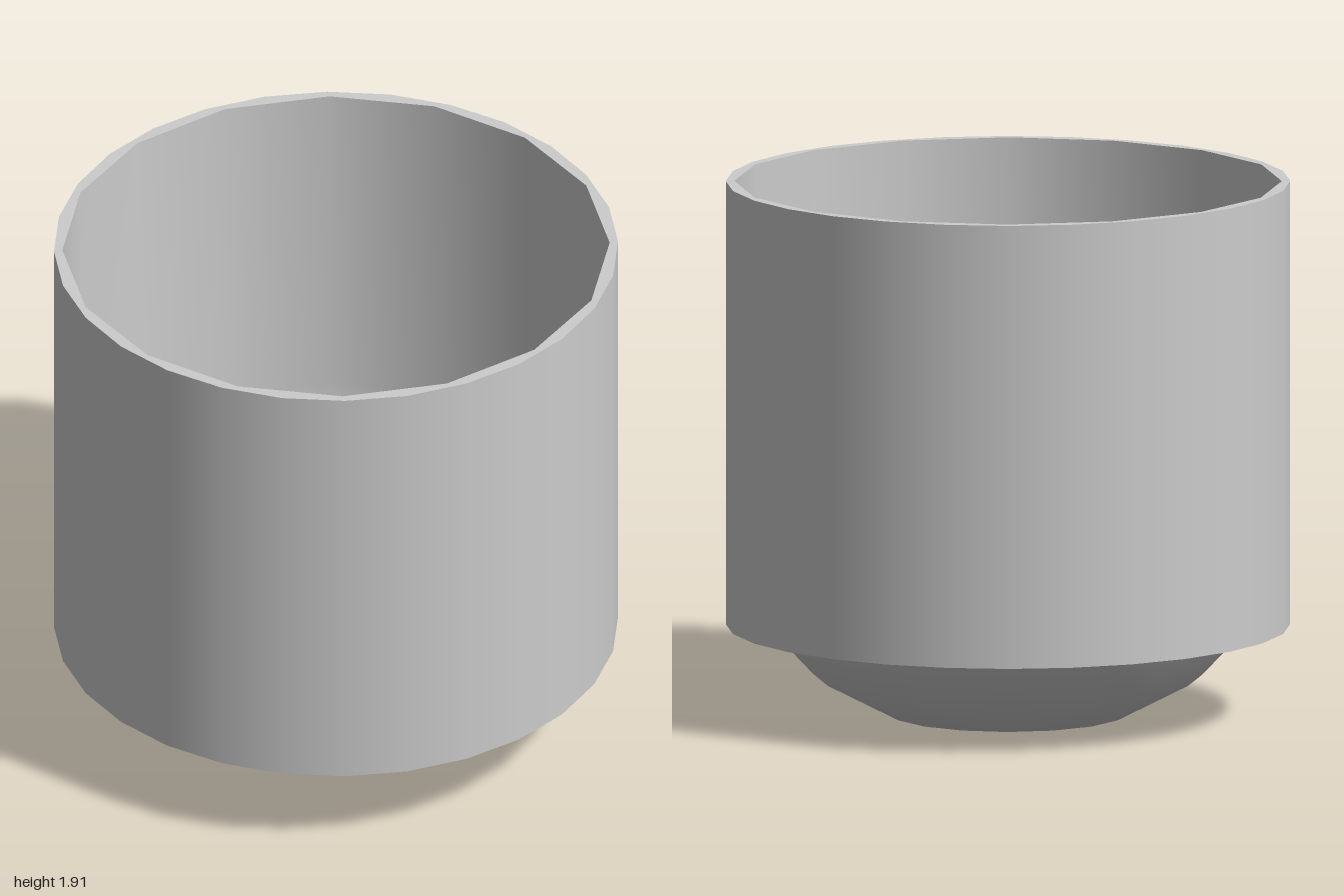
import * as THREE from 'three';

const TOP = 1.91, LEDGE = 0.32;
const OUTER_SIDES = 28, INNER_SIDES = 16;
const INNER_TURN = THREE.MathUtils.degToRad(6);

// Regular polygon in plan, with angles measured from +z towards +x
function ring(radius, sides, turn) {
  return Array.from({ length: sides }, (_, i) => {
    const a = turn + (i / sides) * Math.PI * 2;
    return new THREE.Vector2(radius * Math.sin(a), -radius * Math.cos(a));
  });
}

// Flat ring between the outer wall and the liner
function flatRing(holeRadius, y, faceDown, material, name) {
  const shape = new THREE.Shape(ring(1, OUTER_SIDES, 0));
  shape.holes.push(new THREE.Path(ring(holeRadius, INNER_SIDES, INNER_TURN)));
  const geometry = new THREE.ShapeGeometry(shape).rotateX(-Math.PI / 2);
  if (faceDown) {
    geometry.index.array.reverse();
    geometry.computeVertexNormals();
  }
  const mesh = new THREE.Mesh(geometry, material);
  mesh.position.y = y;
  mesh.name = name;
  return mesh;
}

export function createModel() {
  const group = new THREE.Group();
  group.name = 'cup';
  const grey = new THREE.MeshStandardMaterial({ color: 0xcccccc, side: THREE.DoubleSide });
  grey.name = 'light grey';

  // Straight outer sleeve
  const sleeve = new THREE.Mesh(
    new THREE.CylinderGeometry(1, 1, TOP - LEDGE, OUTER_SIDES, 1, true), grey);
  sleeve.position.y = (TOP + LEDGE) / 2;
  sleeve.name = 'outerWall';

  // Thin liner whose rounded bottom protrudes below the sleeve
  const profile = [[0, 0], [0.42, 0], [0.69, 0.14], [0.86, LEDGE], [0.95, 0.48], [0.97, 0.7], [0.97, TOP]]
    .map(([r, y]) => new THREE.Vector2(r, y));
  const liner = new THREE.Mesh(
    new THREE.LatheGeometry(profile, INNER_SIDES, INNER_TURN), grey);
  liner.name = 'linerAndBowl';

  group.add(sleeve, liner,
    flatRing(0.97, TOP, false, grey, 'rim'),
    flatRing(0.86, LEDGE, true, grey, 'undersideLedge'));
  return group;
}
